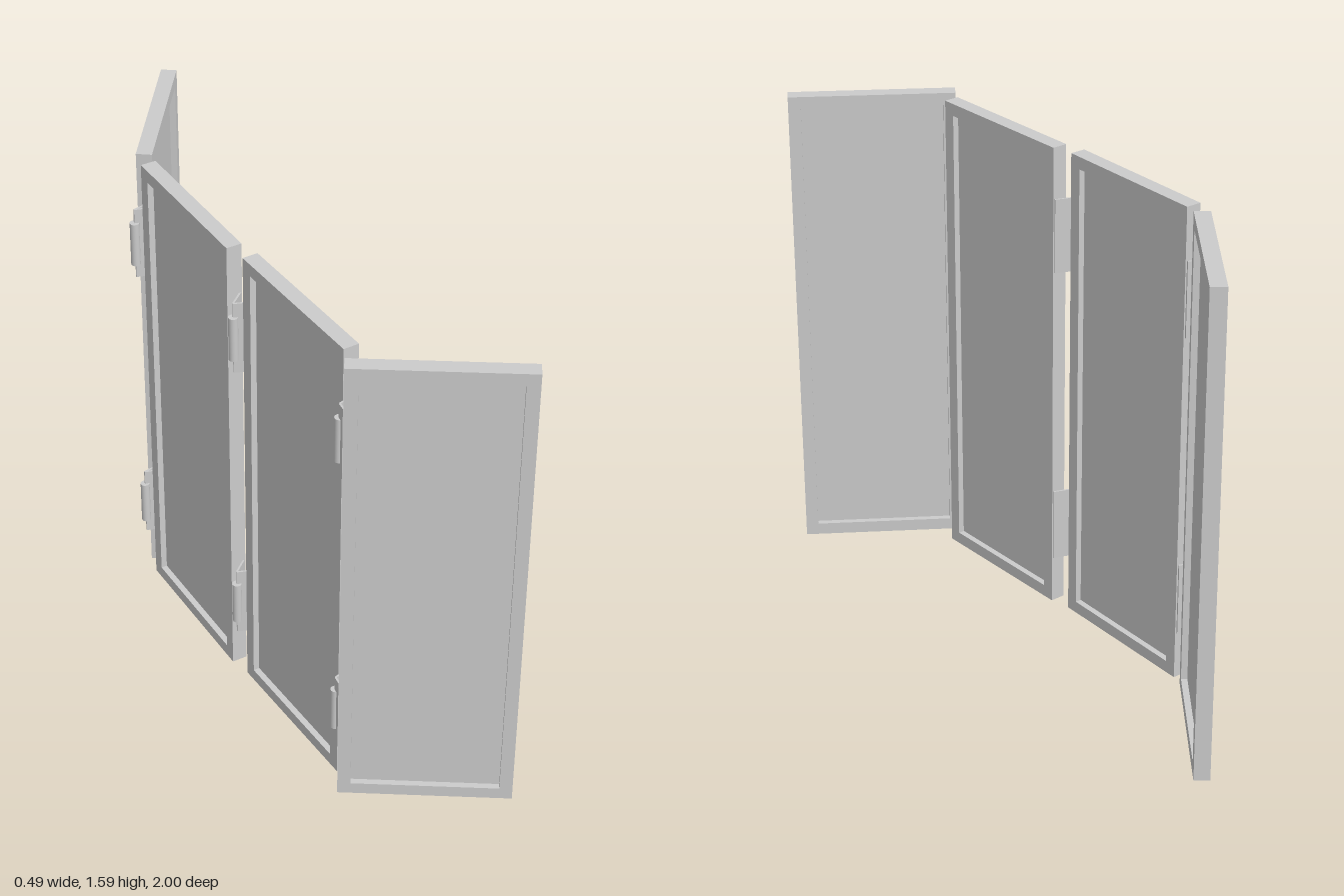
import * as THREE from 'three';

const H = 1.59, THICK = 0.05, BORDER = 0.04;
const material = new THREE.MeshStandardMaterial({ color: 0xcccccc });

// Group whose local x axis runs from a to b, both [x, z]
function spanGroup(name, a, b) {
  const dx = b[0] - a[0], dz = b[1] - a[1];
  const group = new THREE.Group();
  group.name = name;
  group.position.set((a[0] + b[0]) / 2, 0, (a[1] + b[1]) / 2);
  group.rotation.y = Math.atan2(-dz, dx);
  return { group, length: Math.hypot(dx, dz) };
}

function addMesh(parent, name, geometry, x = 0, y = 0, z = 0) {
  const mesh = new THREE.Mesh(geometry, material);
  mesh.name = name;
  mesh.position.set(x, y, z);
  parent.add(mesh);
}

// Rectangular outline, inset from the panel edges
function outline(target, w, inset) {
  const x = w / 2 - inset;
  target.moveTo(-x, inset);
  target.lineTo(x, inset);
  target.lineTo(x, H - inset);
  target.lineTo(-x, H - inset);
  target.closePath();
  return target;
}

// Frame with a thin infill recessed on both faces
function screenPanel(name, a, b) {
  const { group, length } = spanGroup(name, a, b);
  const shape = outline(new THREE.Shape(), length, 0);
  shape.holes.push(outline(new THREE.Path(), length, BORDER));
  const frame = new THREE.ExtrudeGeometry(shape, { depth: THICK, bevelEnabled: false });
  addMesh(group, 'frame', frame, 0, 0, -THICK / 2);
  const infill = new THREE.BoxGeometry(length - 2 * BORDER, H - 2 * BORDER, 0.01);
  addMesh(group, 'infill', infill, 0, H / 2, 0);
  return group;
}

// Barrel at the pin and two thin leaves running to the neighbouring panels
function hinge(pin, leafEnds, y) {
  const group = new THREE.Group();
  group.name = 'hinge';
  group.position.y = y;
  addMesh(group, 'barrel', new THREE.CylinderGeometry(0.015, 0.015, 0.15, 16), pin[0], 0, pin[1]);
  for (const end of leafEnds) {
    const leaf = spanGroup('leaf', pin, end);
    addMesh(leaf.group, 'leafPlate', new THREE.BoxGeometry(leaf.length, 0.245, 0.006));
    group.add(leaf.group);
  }
  return group;
}

export function createModel() {
  const model = new THREE.Group();
  model.name = 'foldingScreen';

  // Panel centre lines, from back to front
  const panels = [
    [[0.132, -0.985], [-0.18, -0.558]],
    [[-0.192, -0.507], [-0.192, 0.027]],
    [[-0.177, 0.095], [-0.16, 0.629]],
    [[-0.218, 0.688], [0.23, 0.978]],
  ];
  panels.forEach(([a, b], i) => model.add(screenPanel('panel' + (i + 1), a, b)));

  // Hinges: pin position and the far ends of the two leaves
  const hinges = [
    [[-0.233, -0.534], [[-0.165, -0.548], [-0.167, -0.515]]],
    [[-0.22, 0.067], [[-0.17, 0.024], [-0.155, 0.09]]],
    [[-0.203, 0.643], [[-0.15, 0.63], [-0.207, 0.672]]],
  ];
  for (const [pin, ends] of hinges) {
    for (const y of [0.286, 1.3]) model.add(hinge(pin, ends, y));
  }
  return model;
}
